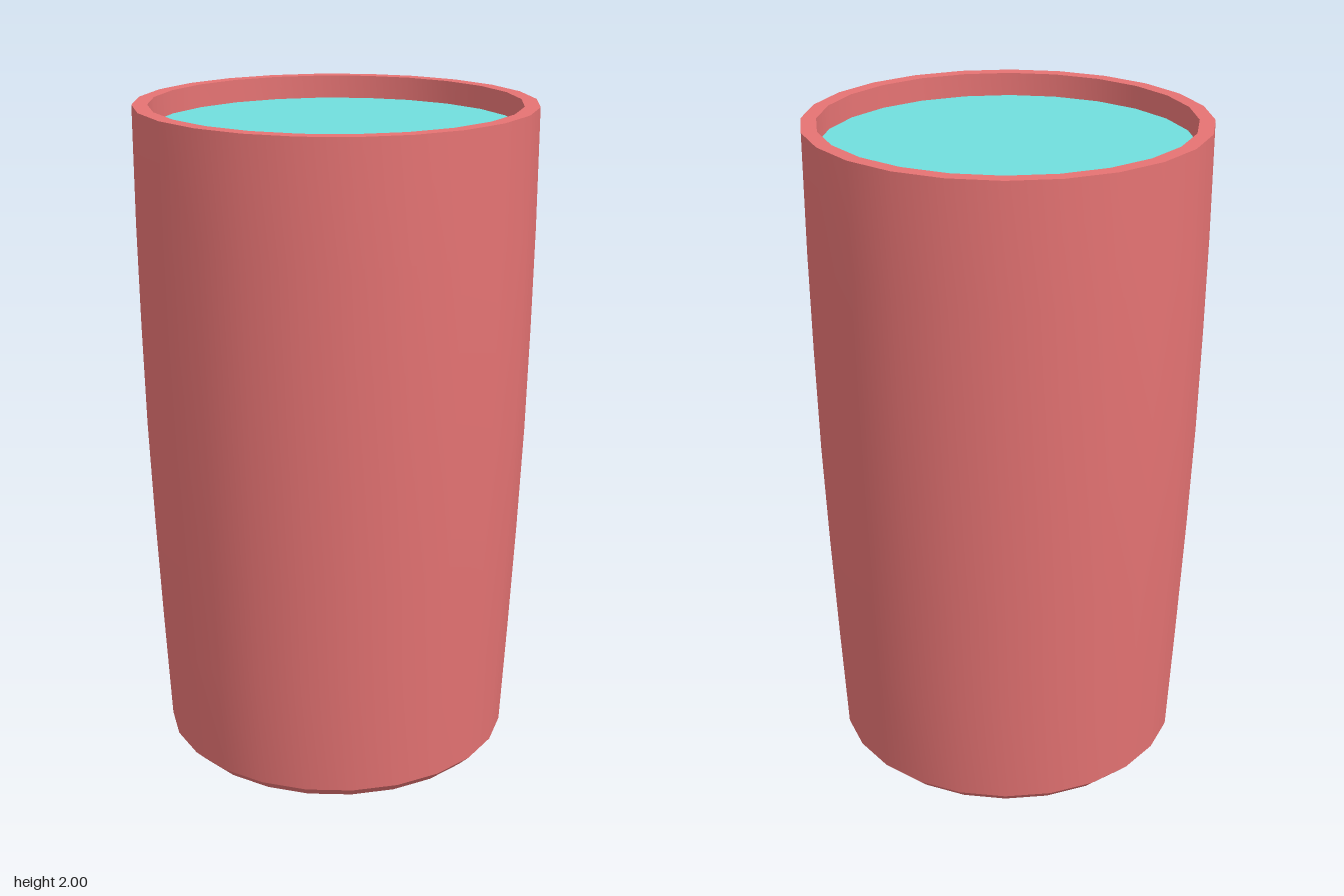
import * as THREE from 'three';
import { toCreasedNormals } from 'three/addons/utils/BufferGeometryUtils.js';

const SIDES = 24;

// Lathe with smooth sides and sharp rims
function turned(points) {
  const profile = points.map(([r, y]) => new THREE.Vector2(r, y));
  return toCreasedNormals(new THREE.LatheGeometry(profile, SIDES), Math.PI / 6);
}

export function createModel() {
  const model = new THREE.Group();
  model.name = 'tumbler';

  // Cup: chamfered base, gently curved taper, flat rim, inner wall and floor
  const outer = [[0.532, 0.035], [0.55, 0.37], [0.566, 0.7], [0.579, 1.03], [0.586, 1.35], [0.59, 1.65], [0.59, 2]];
  const wall = 0.045;
  const inner = outer.map(([r, y]) => [r - wall, Math.max(y, 0.08)]).reverse();
  const cup = new THREE.Mesh(
    turned([[0, 0], [0.497, 0], ...outer, ...inner, [0, 0.08]]),
    new THREE.MeshStandardMaterial({ color: 0xe57373 })
  );
  cup.name = 'cup';
  model.add(cup);

  // Drink surface just below the rim
  const drink = new THREE.Mesh(
    new THREE.CircleGeometry(0.545, SIDES).rotateX(-Math.PI / 2),
    new THREE.MeshStandardMaterial({ color: 0x70dedd })
  );
  drink.name = 'drink';
  drink.position.y = 1.93;
  model.add(drink);

  return model;
}
